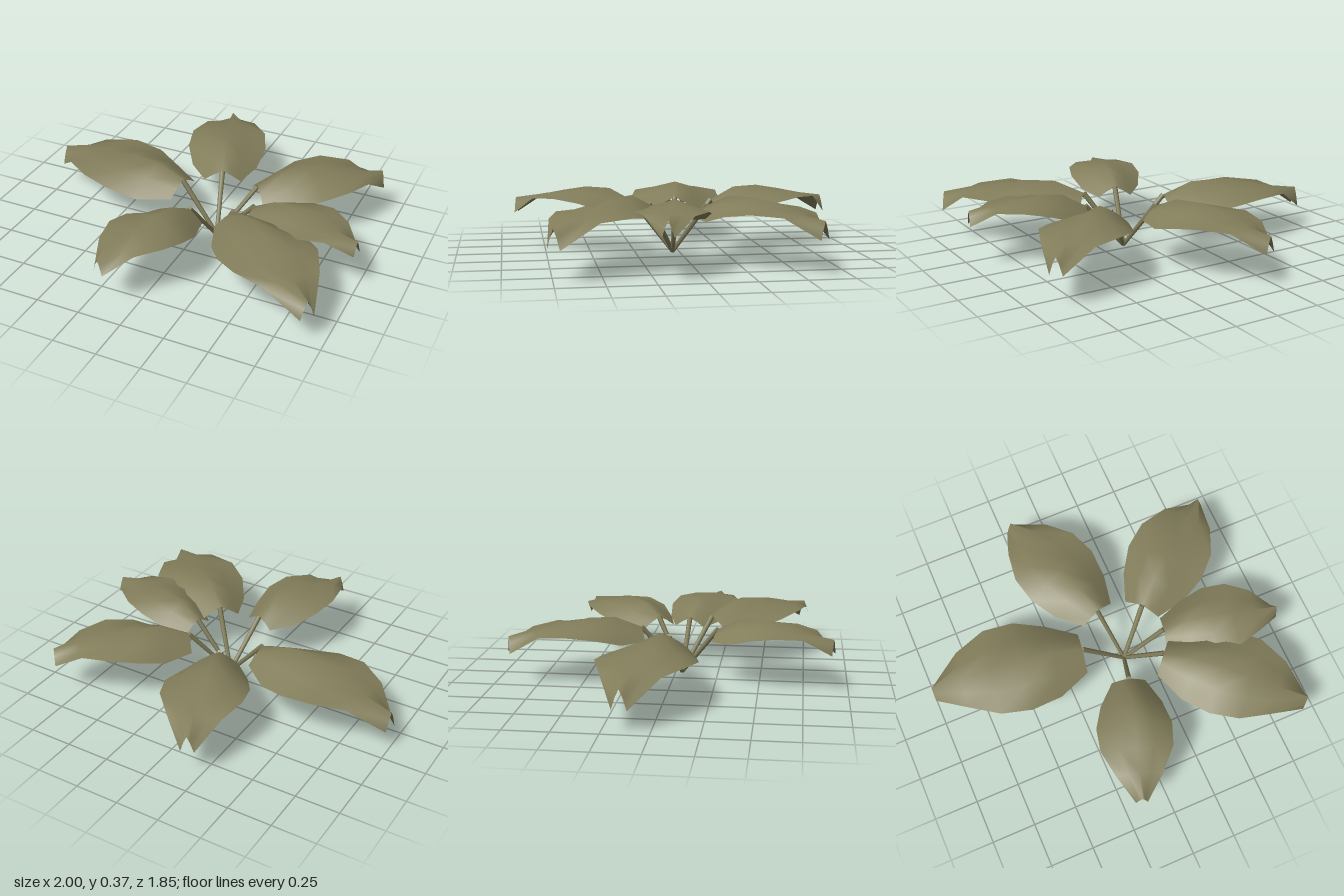
import * as THREE from 'three';

const leafGreen = new THREE.MeshStandardMaterial({ color: 0x827d5a, side: THREE.DoubleSide });
leafGreen.name = 'olive leaf';

const ROOT = new THREE.Vector3(0.11, 0.008, 0.04);

// Shared leaf shape, base to tip: half width and edge droop per unit of length, arch of the midrib
const HALF_WIDTH = [0.137, 0.25, 0.305, 0.29, 0.19, 0.047];
const DROOP = [0.08, 0.16, 0.105, 0.04, 0.01, 0.125];
const ARCH = [0, 0.07, 0.075, 0.05, 0.02, 0];
const COLUMNS = [-1, -0.5, 0, 0.5, 1];

// Base and tip of each leaf's midrib
const LEAVES = [
  { base: [-0.13, 0.285, -0.01], tip: [-0.995, 0.235, -0.15] },
  { base: [0.04, 0.29, -0.19], tip: [-0.21, 0.275, -0.915] },
  { base: [0.29, 0.29, -0.12], tip: [0.88, 0.275, -0.62] },
  { base: [0.345, 0.275, 0.06], tip: [0.99, 0.31, 0.2] },
  { base: [0.28, 0.305, 0.2], tip: [0.918, 0.275, 0.748] },
  { base: [0.04, 0.29, 0.255], tip: [-0.17, 0.3, 0.912] },
];

// Arched blade with drooping edges and a forked, folded tip
function makeLeaf(base, tip) {
  const along = new THREE.Vector3(tip.x - base.x, 0, tip.z - base.z);
  const length = along.length();
  along.normalize();
  const across = new THREE.Vector3(-along.z, 0, along.x);
  const rows = HALF_WIDTH.length, cols = COLUMNS.length;
  const positions = [], indices = [];
  for (let r = 0; r < rows; r++) {
    for (const u of COLUMNS) {
      const p = base.clone().lerp(tip, r / (rows - 1));
      p.addScaledVector(across, u * HALF_WIDTH[r] * length);
      p.y += ARCH[r] - DROOP[r] * length * Math.abs(u) ** 1.3;
      positions.push(p.x, p.y, p.z);
    }
  }
  for (let r = 0; r < rows - 1; r++) {
    for (let c = 0; c < cols - 1; c++) {
      const a = r * cols + c, b = a + cols;
      indices.push(a, a + 1, b, a + 1, b + 1, b);
    }
  }
  const geometry = new THREE.BufferGeometry();
  geometry.setAttribute('position', new THREE.Float32BufferAttribute(positions, 3));
  geometry.setIndex(indices);
  geometry.computeVertexNormals();
  return new THREE.Mesh(geometry, leafGreen);
}

// Thin straight stalk from the root to the leaf base
function makeStem(end) {
  const span = end.clone().sub(ROOT);
  const stem = new THREE.Mesh(new THREE.CylinderGeometry(0.015, 0.012, span.length(), 6), leafGreen);
  stem.position.copy(ROOT).addScaledVector(span, 0.5);
  stem.quaternion.setFromUnitVectors(new THREE.Vector3(0, 1, 0), span.normalize());
  return stem;
}

export function createModel() {
  const plant = new THREE.Group();
  plant.name = 'plant';
  LEAVES.forEach(({ base, tip }, i) => {
    const b = new THREE.Vector3(...base), t = new THREE.Vector3(...tip);
    const leaf = makeLeaf(b, t);
    leaf.name = `leaf${i + 1}`;
    const stem = makeStem(b);
    stem.name = `stem${i + 1}`;
    plant.add(leaf, stem);
  });
  return plant;
}
